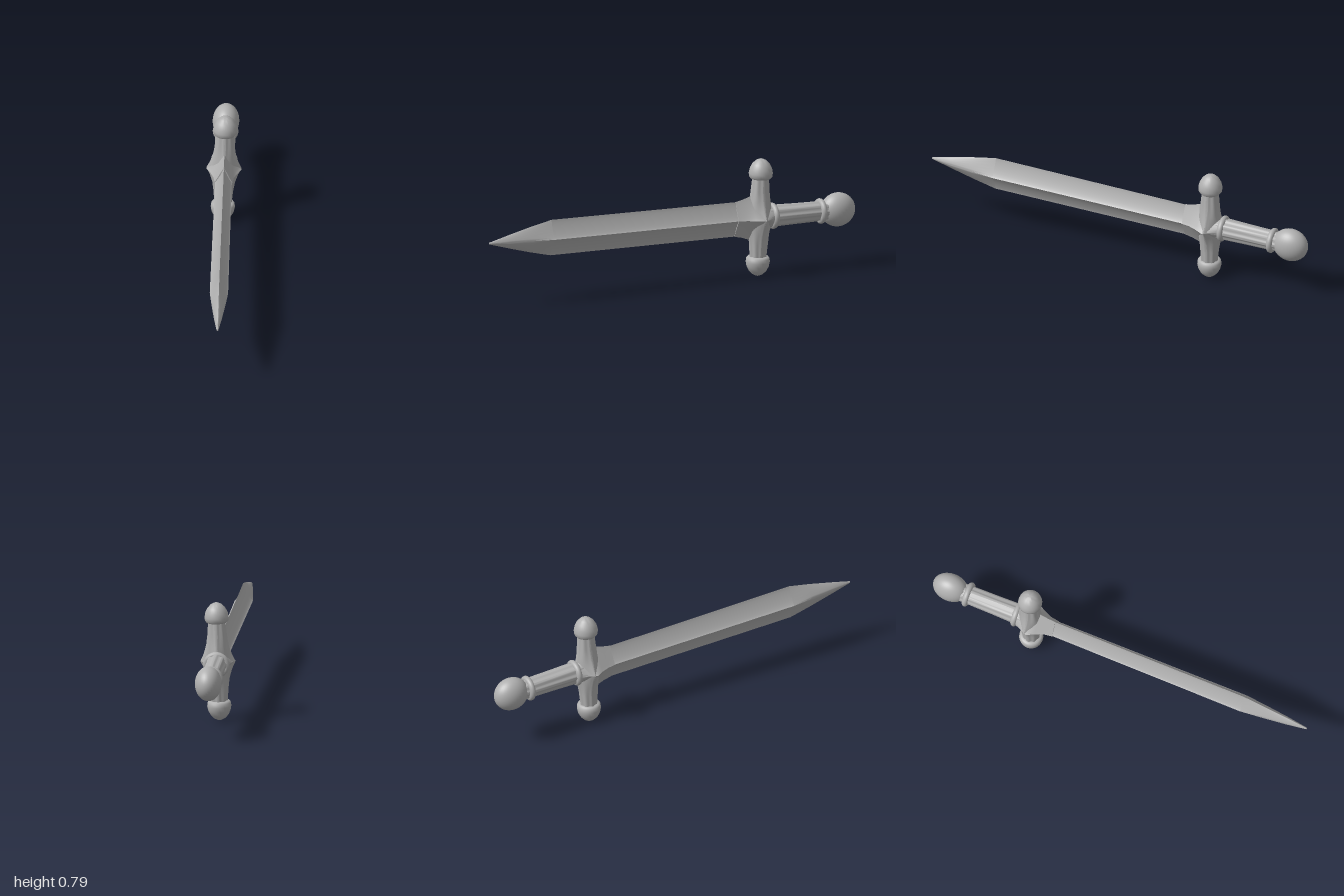
import * as THREE from 'three';
import { toCreasedNormals } from 'three/addons/utils/BufferGeometryUtils.js';

// Loft along +X. Each section: [position, halfY, halfZ, power, fluteDepth]
// power 1 = ellipse, 2 = diamond, above 2 = hollow diamond
function loft(sections, n = 32, crease = 0.7) {
  const pos = [], idx = [];
  for (const [s, hy, hz, p = 1, flute = 0] of sections) {
    for (let k = 0; k < n; k++) {
      const a = (k / n) * Math.PI * 2;
      const c = Math.cos(a), d = Math.sin(a);
      const f = 1 - flute * (0.5 - 0.5 * Math.cos(8 * a));
      pos.push(s,
        f * hy * Math.sign(c) * Math.abs(c) ** p,
        f * hz * Math.sign(d) * Math.abs(d) ** p);
    }
  }
  for (let i = 0; i < sections.length - 1; i++) {
    for (let k = 0; k < n; k++) {
      const a = i * n + k, b = i * n + (k + 1) % n;
      idx.push(a, b, a + n, b, b + n, a + n);
    }
  }
  const g = new THREE.BufferGeometry();
  g.setAttribute('position', new THREE.Float32BufferAttribute(pos, 3));
  g.setIndex(idx);
  return toCreasedNormals(g, crease);
}

export function createModel() {
  const steel = new THREE.MeshStandardMaterial({ color: 0xb0b0b0 });
  steel.name = 'grey steel';
  const sword = new THREE.Group();
  sword.name = 'sword';
  const add = (name, geometry, parent = sword) => {
    const m = new THREE.Mesh(geometry, steel);
    m.name = name;
    parent.add(m);
    return m;
  };

  // Hollow-ground blade with a central ridge, then the smooth point
  add('blade', loft([
    [-1.51, 0.12, 0.06, 2.4],
    [-0.05, 0.116, 0.054, 2.4],
  ], 32, 0.4));
  add('bladePoint', loft([
    [-1.96, 0, 0],
    [-1.957, 0.006, 0.006, 1.2],
    [-1.82, 0.044, 0.026, 1.5],
    [-1.66, 0.086, 0.045, 1.8],
    [-1.51, 0.12, 0.06, 2.4],
  ], 32, 0.9));

  // Collar flaring from the blade into the guard
  add('bladeCollar', loft([
    [-0.175, 0, 0],
    [-0.175, 0.118, 0.058, 2.1],
    [-0.12, 0.13, 0.066, 2.1],
    [-0.065, 0.15, 0.088, 2.2],
    [-0.015, 0.17, 0.116, 2.4],
    [0.04, 0.1, 0.09, 1.7],
    [0.09, 0.07, 0.07, 1],
  ]));

  // Two guard arms with domed ends
  for (const side of [1, -1]) {
    const arm = new THREE.Group();
    arm.name = side > 0 ? 'upperGuardArm' : 'lowerGuardArm';
    arm.rotation.z = side * Math.PI / 2;
    sword.add(arm);
    add('guardArm', loft([
      [0, 0.1, 0.115, 1.9],
      [0.05, 0.09, 0.092, 1.6],
      [0.11, 0.076, 0.074, 1.25, 0.06],
      [0.18, 0.065, 0.064, 1, 0.1],
      [0.28, 0.056, 0.056, 1, 0.1],
    ], 48, 0.8), arm);
    add('guardKnob', loft([
      [0.262, 0, 0], [0.262, 0.052, 0.052], [0.265, 0.068, 0.068],
      [0.277, 0.077, 0.077], [0.3, 0.079, 0.079], [0.33, 0.073, 0.073],
      [0.36, 0.058, 0.058], [0.382, 0.037, 0.037],
      [0.393, 0.016, 0.016], [0.395, 0, 0],
    ], 32, 0.9), arm);
  }

  // Fluted grip between two rings
  add('grip', loft([
    [0.05, 0.076, 0.072, 1, 0.1],
    [0.25, 0.071, 0.067, 1, 0.12],
    [0.48, 0.067, 0.064, 1, 0.1],
  ], 64, 0.8));
  for (const [name, x, r] of [['guardRing', 0.095, 0.067], ['pommelRing', 0.442, 0.064]]) {
    const ring = add(name, new THREE.TorusGeometry(r, 0.02, 12, 32));
    ring.rotation.y = Math.PI / 2;
    ring.position.x = x;
  }

  // Flattened egg-shaped pommel
  const pommel = add('pommel', new THREE.SphereGeometry(1, 32, 24));
  pommel.scale.set(0.12, 0.113, 0.087);
  pommel.position.x = 0.568;

  // Lay the sword diagonally: local X runs from point to pommel
  const along = new THREE.Vector3(1.67, -0.06, -1.895).normalize();
  const up = new THREE.Vector3(0.036, 1, 0);
  const across = along.clone().cross(up).normalize();
  up.crossVectors(across, along);
  sword.quaternion.setFromRotationMatrix(new THREE.Matrix4().makeBasis(along, up, across));
  sword.position.set(0.41, 0.396, -0.467);

  const model = new THREE.Group();
  model.name = 'swordModel';
  model.add(sword);
  return model;
}
